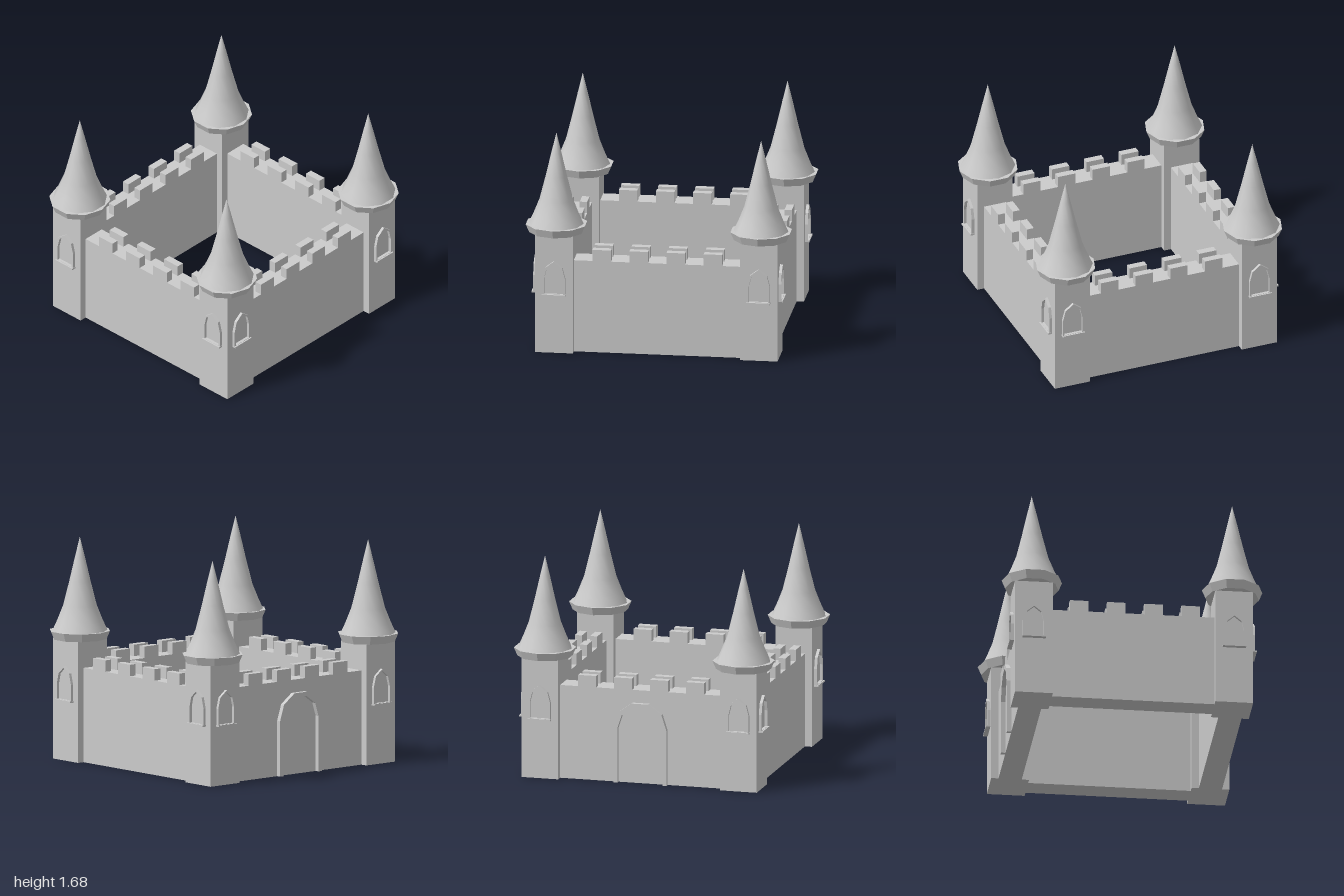
import * as THREE from 'three';

const TX = 0.755, TZ = 0.773;       // tower centres
const TOWER_W = 0.285, TOWER_H = 0.915;
const WALL_T = 0.175, WALL_H = 0.715;

const material = new THREE.MeshStandardMaterial({ color: 0xcccccc });
const flatMaterial = new THREE.MeshStandardMaterial({ color: 0xcccccc, flatShading: true });

function add(parent, name, geometry, mat = material) {
  const mesh = new THREE.Mesh(geometry, mat);
  mesh.name = name;
  parent.add(mesh);
  return mesh;
}

function box(parent, name, w, h, d, x, y, z) {
  const mesh = add(parent, name, new THREE.BoxGeometry(w, h, d));
  mesh.position.set(x, y + h / 2, z);
  return mesh;
}

const toPoints = (list) => list.map(([x, y]) => new THREE.Vector2(x, y));

// Extruded frame between an outer and an inner outline
function frameGeometry(outer, inner, depth) {
  const shape = new THREE.Shape(toPoints(outer));
  shape.holes.push(new THREE.Path(toPoints(inner)));
  return new THREE.ExtrudeGeometry(shape, { depth, bevelEnabled: false });
}

// Pointed window outline, counted from the sill
function windowOutline(inset) {
  const w = 0.086 - inset, b = inset;
  return [[-w, b], [w, b], [w, 0.137], [w * 0.75, 0.22 - inset * 0.7], [0, 0.27 - inset * 1.1],
    [-w * 0.75, 0.22 - inset * 0.7], [-w, 0.137]];
}

// Window frame with a deeper sill, facing +z of its own group
function createWindow() {
  const group = new THREE.Group();
  group.name = 'window';
  add(group, 'windowFrame', frameGeometry(windowOutline(0), windowOutline(0.014), 0.022));
  box(group, 'windowSill', 0.176, 0.012, 0.034, 0, 0, 0.017);
  return group;
}

function createTower(sx, sz) {
  const tower = new THREE.Group();
  tower.name = 'tower';
  box(tower, 'towerShaft', TOWER_W, TOWER_H, TOWER_W, 0, 0, 0);

  // Flared ten-sided cornice
  const cornice = add(tower, 'cornice', new THREE.CylinderGeometry(0.228, 0.202, 0.062, 10), flatMaterial);
  cornice.rotation.y = Math.PI / 2;
  cornice.scale.x = 1.03;
  cornice.position.y = TOWER_H + 0.031;

  // Gently flaring spire
  const profile = toPoints([[0, 0.976], [0.207, 0.976], [0.207, 0.976], [0.169, 1.06], [0.127, 1.165],
    [0.08, 1.35], [0.038, 1.53], [0, 1.685]]);
  add(tower, 'spire', new THREE.LatheGeometry(profile, 10));

  // Windows on the two outer faces
  const half = TOWER_W / 2;
  const faceZ = createWindow();
  faceZ.position.set(0, 0.45, sz * half);
  faceZ.rotation.y = sz > 0 ? 0 : Math.PI;
  const faceX = createWindow();
  faceX.position.set(sx * half, 0.45, 0);
  faceX.rotation.y = sx * Math.PI / 2;
  tower.add(faceZ, faceX);
  return tower;
}

// Wall along x, with a double row of merlons and a walkway between
function createWall(length, shift) {
  const wall = new THREE.Group();
  wall.name = 'wall';
  box(wall, 'curtainWall', length, WALL_H, WALL_T, 0, 0, 0);
  for (const side of [-1, 1]) {
    for (let i = 0; i < 4; i++) {
      box(wall, 'merlon', 0.14, 0.087, 0.056,
        (i - 1.5) * 0.28 + shift, WALL_H, side * (WALL_T - 0.056) / 2);
    }
  }
  return wall;
}

// Outline of the gate arch: straight jambs and a five-sided half circle
function archOutline(r) {
  const points = [[-r, 0], [r, 0]];
  for (let i = 0; i <= 5; i++) {
    const a = (i / 5) * Math.PI;
    points.push([r * Math.cos(a), 0.42 + r * Math.sin(a)]);
  }
  return points;
}

// Raised surround, open at the ground
function createGate() {
  const outer = archOutline(0.207).slice(2);
  const inner = archOutline(0.175).slice(2).reverse();
  const outline = [[0.207, 0], ...outer, [-0.207, 0], [-0.175, 0], ...inner, [0.175, 0]];
  const geometry = new THREE.ExtrudeGeometry(new THREE.Shape(toPoints(outline)),
    { depth: 0.034, bevelEnabled: false });
  const gate = new THREE.Group();
  gate.name = 'gate';
  add(gate, 'gateArch', geometry);
  return gate;
}

export function createModel() {
  const castle = new THREE.Group();
  castle.name = 'castle';

  for (const sx of [-1, 1]) {
    for (const sz of [-1, 1]) {
      const tower = createTower(sx, sz);
      tower.position.set(sx * TX, 0, sz * TZ);
      castle.add(tower);
    }
  }

  for (const s of [-1, 1]) {
    const across = createWall(2 * TX - TOWER_W, 0.013);
    across.position.z = s * TZ;
    const along = createWall(2 * TZ - TOWER_W, 0);
    along.rotation.y = Math.PI / 2;
    along.position.x = s * TX;
    castle.add(across, along);
  }

  const gate = createGate();
  gate.rotation.y = -Math.PI / 2;
  gate.position.x = -TX - WALL_T / 2;
  castle.add(gate);
  return castle;
}
